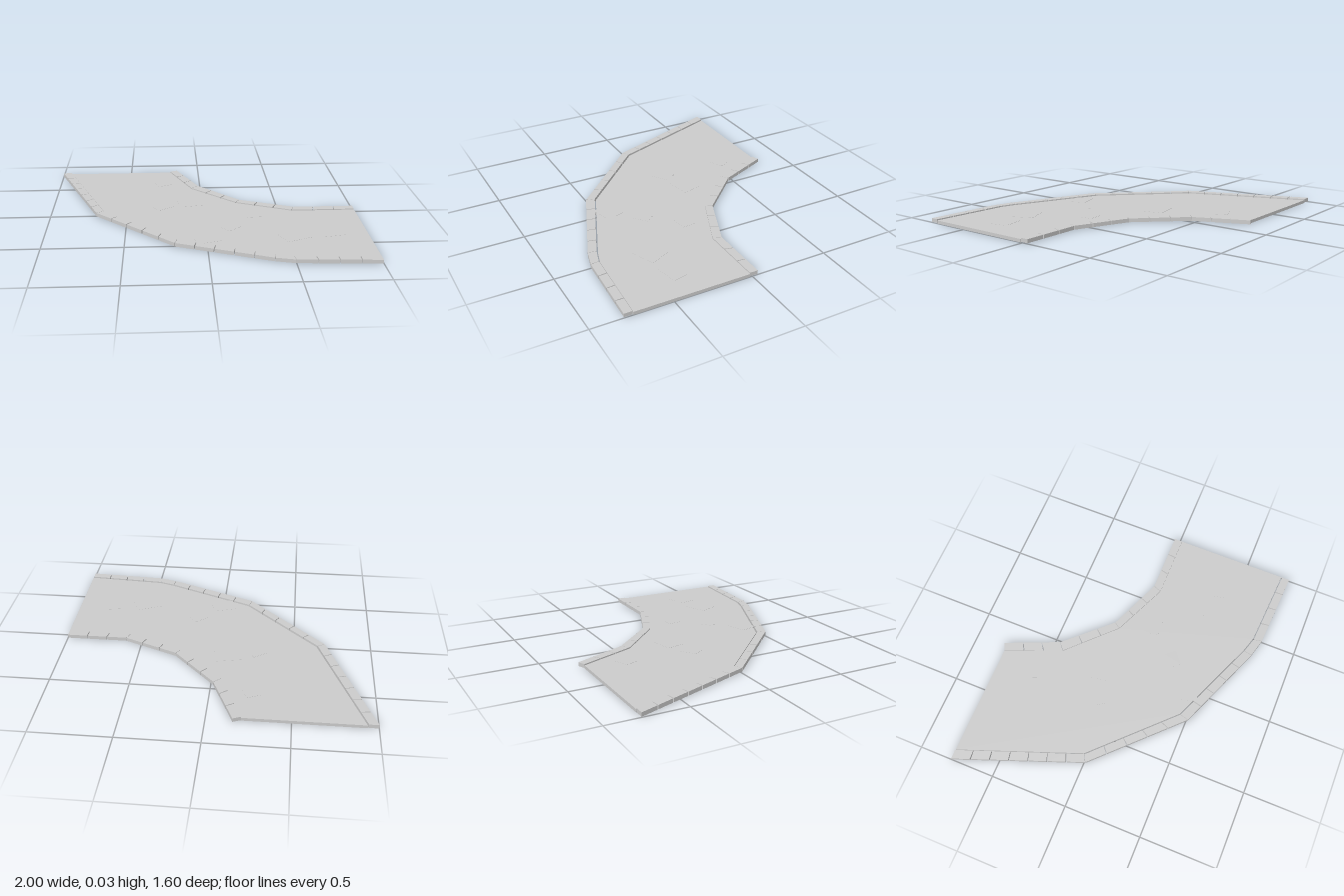
import * as THREE from 'three';

const material = new THREE.MeshStandardMaterial({ color: 0xcccccc, flatShading: true, side: THREE.DoubleSide });

// Upright prism from a plan outline of [x, z] points
function prism(name, points, bottom, top) {
  const shape = new THREE.Shape(points.map(([x, z]) => new THREE.Vector2(x, -z)));
  const geometry = new THREE.ExtrudeGeometry(shape, { depth: top - bottom, bevelEnabled: false });
  geometry.rotateX(-Math.PI / 2).translate(0, bottom, 0);
  const mesh = new THREE.Mesh(geometry, material);
  mesh.name = name;
  return mesh;
}

const mix = (a, b, t) => [a[0] + (b[0] - a[0]) * t, a[1] + (b[1] - a[1]) * t];
const wobble = (i) => Math.sin(i * 12.7 + 1.3);

// Row of kerb stones between two edge polylines, counts[i] stones in each stretch
function kerb(name, edgeA, edgeB, counts) {
  const group = new THREE.Group();
  group.name = name;
  let n = 0;
  counts.forEach((count, i) => {
    const length = Math.hypot(edgeA[i + 1][0] - edgeA[i][0], edgeA[i + 1][1] - edgeA[i][1]);
    const gap = 0.003 / length;
    for (let k = 0; k < count; k++, n++) {
      const start = k / count + (k > 0 ? gap : 0);
      const end = (k + 1) / count - gap;
      const skew = k > 0 ? gap * 0.6 * wobble(n) : 0;
      group.add(prism('kerbStone', [
        mix(edgeA[i], edgeA[i + 1], start + skew),
        mix(edgeA[i], edgeA[i + 1], end),
        mix(edgeB[i], edgeB[i + 1], end),
        mix(edgeB[i], edgeB[i + 1], start - skew),
      ], 0.003, 0.027 + 0.001 * wobble(n + 5)));
    }
  });
  return group;
}

export function createModel() {
  const model = new THREE.Group();
  model.name = 'curvedRoad';

  // Plan edges of both kerbs
  const outerFar = [[-1, -0.785], [-0.7, 0.01], [-0.195, 0.51], [0.38, 0.742], [0.5, 0.773], [1, 0.8]];
  const outerNear = [[-0.94, -0.785], [-0.655, -0.015], [-0.18, 0.455], [0.39, 0.69], [0.49, 0.72], [1, 0.75]];
  const innerNear = [[-0.208, -0.785], [-0.062, -0.425], [0.228, -0.14], [0.585, 0.015], [1, 0.015]];
  const innerFar = [[-0.16, -0.805], [-0.015, -0.465], [0.255, -0.18], [0.605, -0.037], [1, -0.037]];

  // Road bed, with a narrow joint along the outer kerb
  const joint = outerNear.map(([x, z]) => [Math.min(x + 0.006, 1), Math.max(z - 0.006, -0.785)]);
  model.add(prism('roadBed', [...joint, ...[...innerNear].reverse()], 0, 0.02));

  model.add(kerb('outerKerb', outerFar, outerNear, [7, 5, 5, 1, 4]));
  model.add(kerb('innerKerb', innerNear, innerFar, [3, 3, 3, 3]));

  // Worn paving slabs just proud of the road: x, z, size, turn
  const slabs = [
    [-0.27, -0.1, 0.12, 0.6], [-0.08, -0.16, 0.16, 0.2], [-0.26, -0.54, 0.1, 0.4],
    [0, 0.44, 0.15, 0.3], [0.16, 0.27, 0.1, 0.7], [0.33, 0.07, 0.11, 0.1],
    [0.54, 0.42, 0.17, 0.4], [0.77, 0.38, 0.15, 0.2],
  ];
  for (const [x, z, size, turn] of slabs) {
    const slab = new THREE.Mesh(new THREE.BoxGeometry(size, 0.0205, size * 0.8), material);
    slab.name = 'pavingSlab';
    slab.position.set(x, 0.0108, z);
    slab.rotation.y = turn;
    model.add(slab);
  }
  return model;
}
